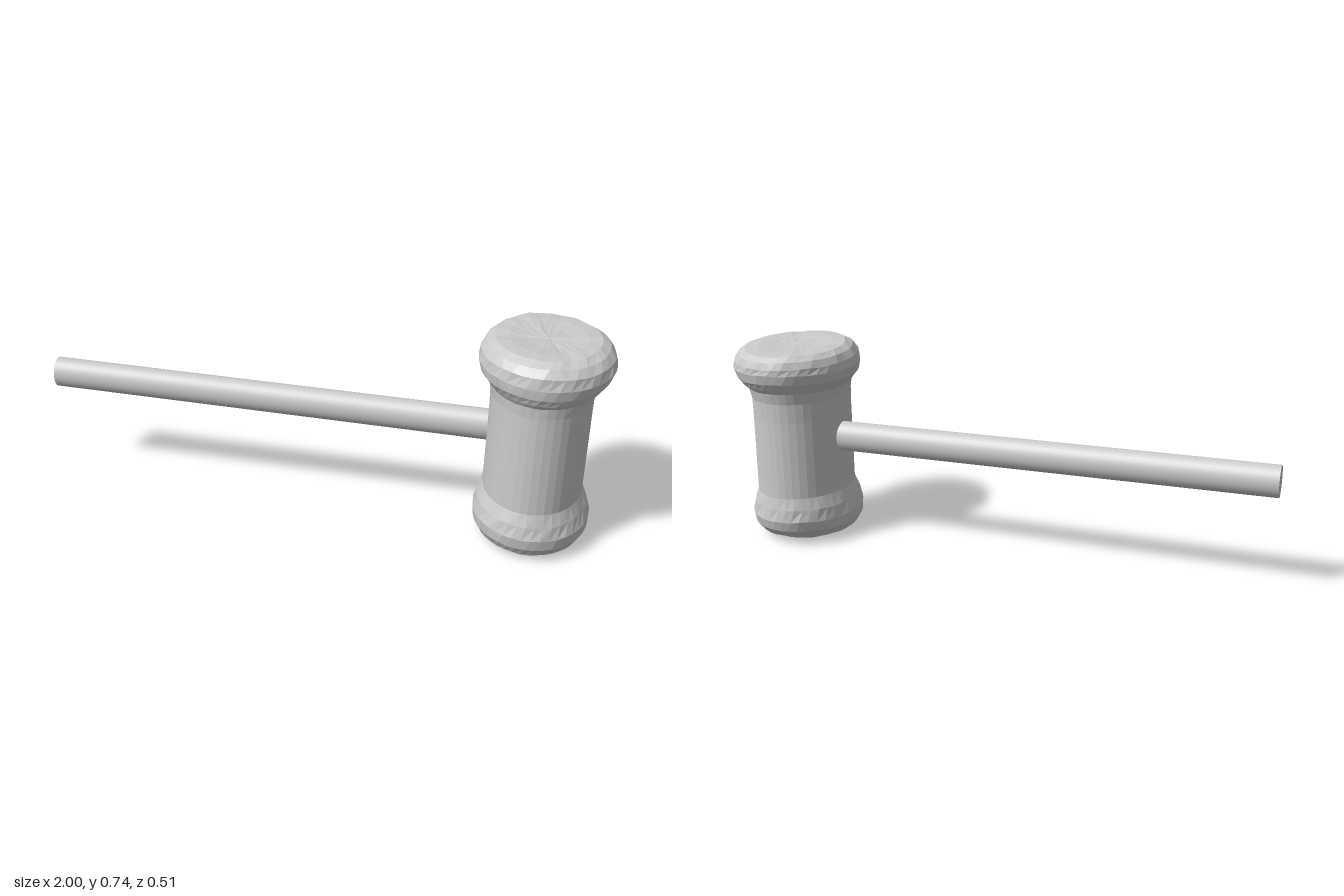
import * as THREE from 'three';

const SIDES = 40;

// Cross-sections of the head, bottom to top: y, xMin, xMax, zMin, zMax, roughness
const SECTIONS = [
  [0.008, 0.75, 0.79, -0.01, 0.03, 0.3],
  [0.007, 0.68, 0.86, -0.08, 0.12, 0.5],
  [0.012, 0.625, 0.915, -0.135, 0.195, 0.7],
  [0.03, 0.588, 0.95, -0.172, 0.23, 1],
  [0.06, 0.57, 0.967, -0.2, 0.247, 1],
  [0.1, 0.566, 0.97, -0.213, 0.253, 1],
  [0.145, 0.576, 0.957, -0.209, 0.243, 0.8],
  [0.19, 0.595, 0.938, -0.201, 0.229, 0.2],
  [0.48, 0.597, 0.938, -0.2, 0.226, 0.1],
  [0.55, 0.596, 0.939, -0.203, 0.226, 0.3],
  [0.59, 0.589, 0.948, -0.213, 0.229, 0.5],
  [0.605, 0.577, 0.967, -0.226, 0.239, 0.9],
  [0.63, 0.556, 0.986, -0.244, 0.25, 1],
  [0.665, 0.547, 0.998, -0.253, 0.254, 0.8],
  [0.695, 0.553, 0.99, -0.252, 0.248, 0.8],
  [0.72, 0.57, 0.97, -0.244, 0.227, 0.8],
  [0.735, 0.595, 0.943, -0.22, 0.195, 0.7],
  [0.737, 0.64, 0.9, -0.165, 0.145, 0.7],
  [0.732, 0.7, 0.84, -0.085, 0.075, 0.6],
  [0.732, 0.76, 0.78, -0.01, 0.005, 0.2],
];

// Smooth bumps that repeat round the head
const bump = (a, y) =>
  0.5 * Math.sin(3 * a + 11 * y) + 0.3 * Math.sin(7 * a - 40 * y + 1) + 0.4 * Math.sin(13 * a + 90 * y);

function makeHead() {
  const positions = [];
  const indices = [];
  SECTIONS.forEach(([y, x0, x1, z0, z1, rough], row) => {
    const rx = (x1 - x0) / 2, rz = (z1 - z0) / 2;
    for (let i = 0; i < SIDES; i++) {
      const a = (i + (row % 2) * 0.5 * (rough > 0.4 ? 1 : 0)) / SIDES * Math.PI * 2;
      const n = rough * bump(a, y);
      const s = 1 + 0.012 * n;
      const z = (z0 + z1) / 2 + Math.sin(a) * rz * s;
      // the top face leans down toward the back
      const lean = y > 0.69 ? 0.035 * z : 0;
      const py = Math.max(0, y + lean + 0.004 * n);
      positions.push((x0 + x1) / 2 + Math.cos(a) * rx * s, py, z);
    }
  });
  for (let r = 0; r < SECTIONS.length - 1; r++) {
    for (let i = 0; i < SIDES; i++) {
      const j = (i + 1) % SIDES;
      const a = r * SIDES + i, b = r * SIDES + j, c = a + SIDES, d = b + SIDES;
      indices.push(a, c, b, b, c, d);
    }
  }
  // close the two small end rings
  const last = (SECTIONS.length - 1) * SIDES;
  for (let i = 1; i < SIDES - 1; i++) {
    indices.push(0, i, i + 1, last, last + i + 1, last + i);
  }
  const geometry = new THREE.BufferGeometry();
  geometry.setAttribute('position', new THREE.Float32BufferAttribute(positions, 3));
  geometry.setIndex(indices);
  geometry.computeVertexNormals();
  const material = new THREE.MeshStandardMaterial({ color: 0xcccccc, flatShading: true });
  const head = new THREE.Mesh(geometry, material);
  head.name = 'malletHead';
  return head;
}

// Round handle, slightly taller than deep, running into the head
function makeHandle() {
  const length = 1.7;
  const geometry = new THREE.CylinderGeometry(1, 1, length, 32);
  geometry.scale(0.056, 1, 0.047);
  geometry.rotateZ(Math.PI / 2);
  geometry.translate(length / 2, 0, 0);
  const handle = new THREE.Mesh(geometry, new THREE.MeshStandardMaterial({ color: 0xcccccc }));
  handle.name = 'handle';
  handle.position.set(-1, 0.405, 0.006);
  handle.rotation.z = -0.008;
  return handle;
}

export function createModel() {
  const group = new THREE.Group();
  group.name = 'mallet';
  group.add(makeHead(), makeHandle());
  return group;
}
